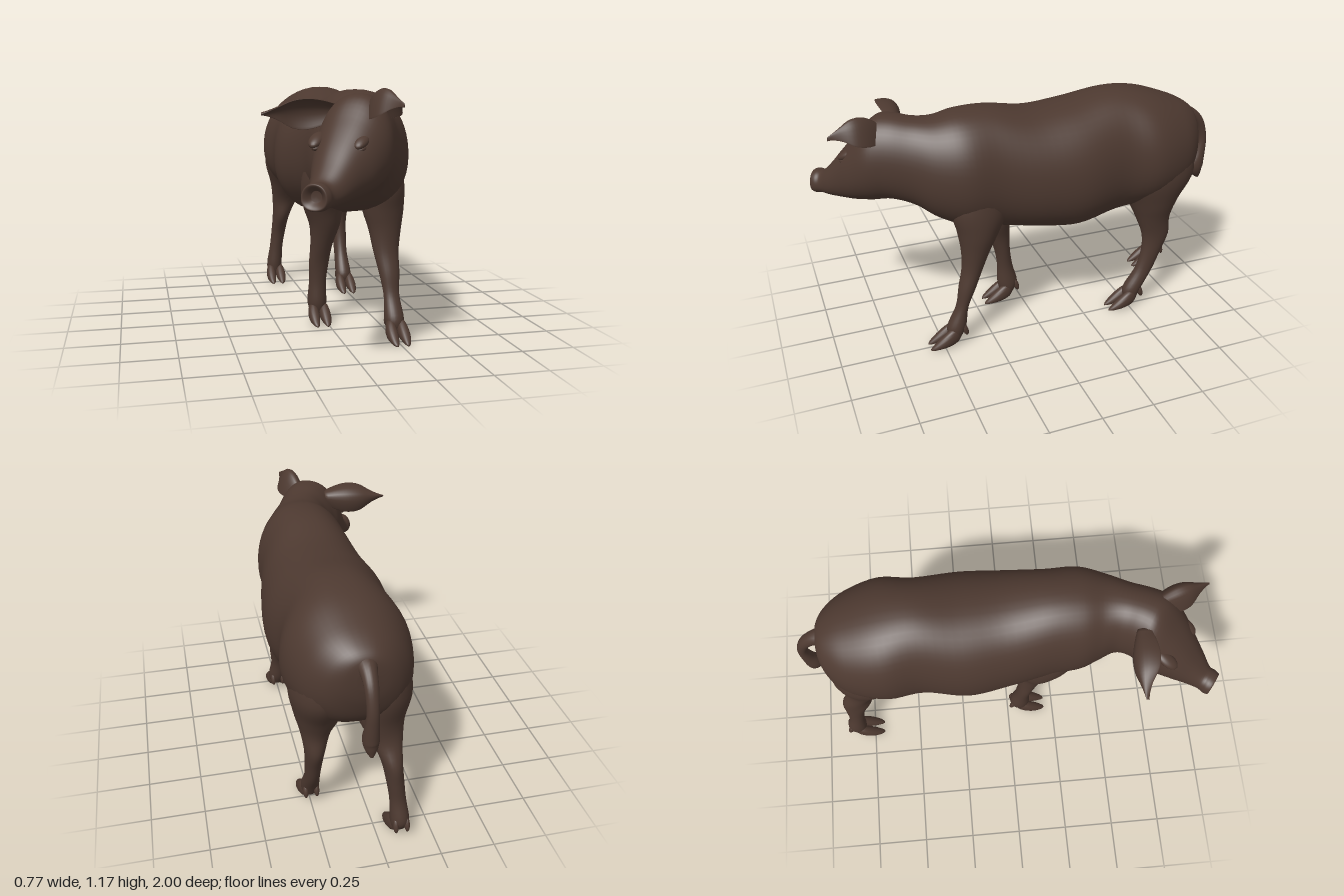
import * as THREE from 'three';

const V = (x, y, z) => new THREE.Vector3(x, y, z);

// Catmull-Rom interpolation of every column of a table of rows
function smooth(rows, steps) {
  const out = [];
  const last = rows.length - 1;
  for (let s = 0; s <= last * steps; s++) {
    const i = Math.min(Math.floor(s / steps), last - 1);
    const t = s / steps - i;
    const p = [i - 1, i, i + 1, i + 2].map(k => rows[Math.max(0, Math.min(last, k))]);
    out.push(p[1].map((b, c) => {
      const a = p[0][c], d = p[2][c], e = p[3][c];
      return b + 0.5 * t * (d - a + t * (2 * a - 5 * b + 4 * d - e + t * (3 * (b - d) + e - a)));
    }));
  }
  return out;
}

// Closed skin over rings of points, with a fan at each end
function skin(rings) {
  const n = rings[0].length, m = rings.length;
  const pos = [], idx = [];
  rings.forEach(r => r.forEach(p => pos.push(p.x, p.y, p.z)));
  for (const r of [rings[0], rings[m - 1]]) {
    const c = r.reduce((a, p) => a.add(p), V(0, 0, 0)).divideScalar(n);
    pos.push(c.x, c.y, c.z);
  }
  for (let j = 0; j < n; j++) {
    const k = (j + 1) % n;
    for (let i = 0; i < m - 1; i++) {
      const a = i * n + j, b = i * n + k;
      idx.push(a, b, b + n, a, b + n, a + n);
    }
    idx.push(m * n, k, j, m * n + 1, (m - 1) * n + j, (m - 1) * n + k);
  }
  const g = new THREE.BufferGeometry();
  g.setAttribute('position', new THREE.Float32BufferAttribute(pos, 3));
  g.setIndex(idx);
  g.computeVertexNormals();
  return g;
}

// Ring of n points around c; f(angle) gives the two in-plane offsets
function ring(c, R, U, n, f) {
  return Array.from({ length: n }, (_, j) => {
    const [a, b] = f(j / n * Math.PI * 2);
    return c.clone().addScaledVector(R, a).addScaledVector(U, b);
  });
}
const soft = (v, e) => Math.sign(v) * Math.abs(v) ** e;

// Lengthwise loft, rows: x, z, bottom y, top y, half width, yaw
function lengthwise(rows, n, steps, egg) {
  return skin(smooth(rows, steps).map(([x, z, y0, y1, w, yaw]) =>
    ring(V(x, (y0 + y1) / 2, z), V(Math.cos(yaw), 0, Math.sin(yaw)), V(0, 1, 0), n, t => [
      w * soft(Math.cos(t), 0.88) * (1 - egg * Math.sin(t)),
      (y1 - y0) / 2 * soft(Math.sin(t), 0.95)])));
}

// Upright loft, rows: y, back z, front z, inner x, outer x
function upright(rows) {
  return skin(smooth(rows, 5).map(([y, z0, z1, x0, x1]) =>
    ring(V((x0 + x1) / 2, y, (z0 + z1) / 2), V(0, 0, 1), V(1, 0, 0), 24, t => [
      (z1 - z0) / 2 * Math.cos(t), (x1 - x0) / 2 * Math.sin(t)])));
}

// Cupped, tapering ear from base to tip
function ear(base, tip, across, width, cup, arch) {
  const D = tip.clone().sub(base).normalize();
  const R = across.clone().addScaledVector(D, -across.dot(D)).normalize();
  const U = D.clone().cross(R);
  const profile = smooth([[0.5], [0.82], [1], [0.88], [0.38], [0.05]], 4);
  return skin(profile.map(([w], i) => {
    const u = i / (profile.length - 1);
    const c = base.clone().lerp(tip, u).addScaledVector(U, arch * Math.sin(Math.PI * u));
    return ring(c, R, U, 28, t => [
      width * w * Math.cos(t),
      0.009 * Math.sin(t) - cup * w * (Math.cos(t) ** 2 - 0.4)]);
  }));
}

export function createModel() {
  const hide = new THREE.MeshStandardMaterial({ color: 0x4d3930 });
  hide.name = 'darkBrownHide';
  const pig = new THREE.Group();
  pig.name = 'pig';
  const add = (name, geometry, parent = pig) => {
    const mesh = new THREE.Mesh(geometry, hide);
    mesh.name = name;
    parent.add(mesh);
    return mesh;
  };

  // Trunk, neck and turned head ending in a hollow snout disc
  add('trunkAndHead', lengthwise([
    [0.075, -0.885, 0.86, 0.95, 0.04, 0],
    [0.075, -0.872, 0.78, 1.0, 0.11, 0],
    [0.08, -0.83, 0.68, 1.04, 0.18, 0],
    [0.085, -0.74, 0.61, 1.085, 0.245, 0],
    [0.09, -0.58, 0.57, 1.14, 0.285, 0],
    [0.09, -0.41, 0.545, 1.16, 0.262, 0],
    [0.093, -0.2, 0.51, 1.13, 0.29, 0],
    [0.1, 0, 0.535, 1.12, 0.27, 0],
    [0.1, 0.2, 0.57, 1.152, 0.238, 0],
    [0.102, 0.35, 0.6, 1.152, 0.23, 0.03],
    [0.09, 0.46, 0.65, 1.13, 0.192, 0.15],
    [0.065, 0.55, 0.715, 1.13, 0.155, 0.3],
    [0.025, 0.635, 0.742, 1.142, 0.154, 0.5],
    [-0.018, 0.7, 0.73, 1.13, 0.162, 0.6],
    [-0.075, 0.768, 0.716, 1.04, 0.145, 0.63],
    [-0.125, 0.827, 0.709, 0.955, 0.114, 0.64],
    [-0.172, 0.885, 0.705, 0.868, 0.083, 0.64],
    [-0.212, 0.925, 0.703, 0.815, 0.06, 0.64],
    [-0.235, 0.95, 0.698, 0.812, 0.061, 0.64],
    [-0.25, 0.967, 0.703, 0.806, 0.054, 0.64],
    [-0.246, 0.962, 0.718, 0.793, 0.04, 0.64],
    [-0.234, 0.946, 0.735, 0.778, 0.022, 0.64],
  ], 48, 5, 0.08));

  // Heavy brows with the closed eyelids just below
  for (const [side, x, z] of [['left', -0.025, 0.83], ['right', -0.183, 0.72]]) {
    const brow = add(side + 'Brow', new THREE.SphereGeometry(1, 24, 16));
    brow.scale.set(0.032, 0.022, 0.058);
    brow.position.set(x, 0.957, z);
    brow.rotation.set(0.45, -0.62, 0, 'YXZ');
    const lid = add(side + 'Eyelid', new THREE.SphereGeometry(1, 20, 12));
    lid.scale.set(0.024, 0.016, 0.038);
    lid.position.set(x, 0.933, z + 0.01);
    lid.rotation.set(0.3, -0.62, 0, 'YXZ');
  }

  // Ears: the left one points forward, the right one sideways
  add('leftEar', ear(V(0.05, 1.07, 0.68), V(0.118, 1.1, 0.93), V(0.9, 0.05, -0.2), 0.066, 0.11, 0.03));
  add('rightEar', ear(V(-0.07, 1.075, 0.6), V(-0.39, 1.058, 0.583), V(0, 0.8, 0.55), 0.08, 0.06, 0.015));

  // Legs, listed from ankle to hip, with heel z and foot x
  const legs = {
    frontLeftLeg: [0.405, 0.252, [
      [0.045, 0.41, 0.475, 0.215, 0.29], [0.1, 0.385, 0.478, 0.206, 0.297], [0.2, 0.37, 0.43, 0.21, 0.285],
      [0.3, 0.33, 0.412, 0.195, 0.293], [0.4, 0.29, 0.39, 0.175, 0.297], [0.5, 0.25, 0.39, 0.157, 0.312],
      [0.6, 0.2, 0.405, 0.13, 0.328], [0.72, 0.15, 0.43, 0.12, 0.33], [0.9, 0.15, 0.4, 0.14, 0.305]]],
    frontRightLeg: [0.035, -0.035, [
      [0.045, 0.04, 0.105, -0.073, 0.003], [0.1, 0.015, 0.12, -0.085, 0.01], [0.2, 0.04, 0.12, -0.08, 0.005],
      [0.3, 0.055, 0.135, -0.083, 0.015], [0.4, 0.06, 0.17, -0.08, 0.03], [0.5, 0.065, 0.21, -0.09, 0.06],
      [0.6, 0.06, 0.25, -0.125, 0.07], [0.72, 0.06, 0.33, -0.138, 0.06], [0.9, 0.1, 0.35, -0.11, 0.04]]],
    rearLeftLeg: [-0.55, 0.25, [
      [0.045, -0.545, -0.48, 0.212, 0.288], [0.1, -0.572, -0.475, 0.206, 0.292], [0.2, -0.63, -0.535, 0.213, 0.285],
      [0.3, -0.67, -0.565, 0.21, 0.288], [0.4, -0.71, -0.565, 0.2, 0.293], [0.5, -0.71, -0.53, 0.17, 0.308],
      [0.6, -0.75, -0.485, 0.12, 0.333], [0.75, -0.83, -0.42, 0.09, 0.355], [0.95, -0.8, -0.45, 0.12, 0.315]]],
    rearRightLeg: [-0.865, -0.1, [
      [0.045, -0.86, -0.795, -0.138, -0.062], [0.1, -0.885, -0.785, -0.144, -0.057], [0.2, -0.86, -0.78, -0.13, -0.055],
      [0.3, -0.86, -0.76, -0.12, -0.04], [0.4, -0.86, -0.71, -0.115, -0.02], [0.5, -0.815, -0.69, -0.122, 0.02],
      [0.6, -0.815, -0.62, -0.137, 0.07], [0.75, -0.85, -0.5, -0.172, 0.09], [0.95, -0.84, -0.48, -0.125, 0.05]]],
  };
  for (const [name, [heel, x, rows]] of Object.entries(legs)) {
    const leg = new THREE.Group();
    leg.name = name;
    pig.add(leg);
    add('limb', upright(rows), leg);
    for (const s of [-1, 1]) {
      // Cloven toe
      add('toe', lengthwise([
        [x + s * 0.02, heel + 0.01, 0.05, 0.09, 0.008, 0],
        [x + s * 0.023, heel + 0.03, 0.024, 0.1, 0.02, 0],
        [x + s * 0.027, heel + 0.065, 0.01, 0.092, 0.026, 0],
        [x + s * 0.029, heel + 0.11, 0.004, 0.06, 0.025, -s * 0.05],
        [x + s * 0.028, heel + 0.15, 0, 0.025, 0.015, 0],
        [x + s * 0.026, heel + 0.167, 0, 0.008, 0.005, 0],
      ], 18, 4, 0.1), leg);
      // Dewclaw
      const claw = add('dewclaw', new THREE.SphereGeometry(1, 14, 10), leg);
      claw.scale.set(0.013, 0.035, 0.014);
      claw.position.set(x + s * 0.026, 0.083, heel - 0.008);
      claw.rotation.x = 0.3;
    }
  }

  // Tail hanging from the rump with a thicker tuft, rows: y, z, half width, half depth
  const tail = smooth([
    [0.97, -0.82, 0.06, 0.045], [0.955, -0.885, 0.038, 0.035], [0.905, -0.94, 0.03, 0.028],
    [0.82, -0.97, 0.026, 0.024], [0.74, -0.965, 0.03, 0.03], [0.665, -0.948, 0.036, 0.043],
    [0.62, -0.958, 0.026, 0.028], [0.588, -0.972, 0.006, 0.006]], 5);
  add('tail', skin(tail.map(([y, z, w, d], i) => {
    const a = tail[Math.max(0, i - 1)], b = tail[Math.min(tail.length - 1, i + 1)];
    const R = V(1, 0, 0);
    const U = V(0, b[0] - a[0], b[1] - a[1]).normalize().cross(R);
    return ring(V(0.075, y, z), R, U, 18, t => [w * Math.cos(t), d * Math.sin(t)]);
  })));

  return pig;
}
